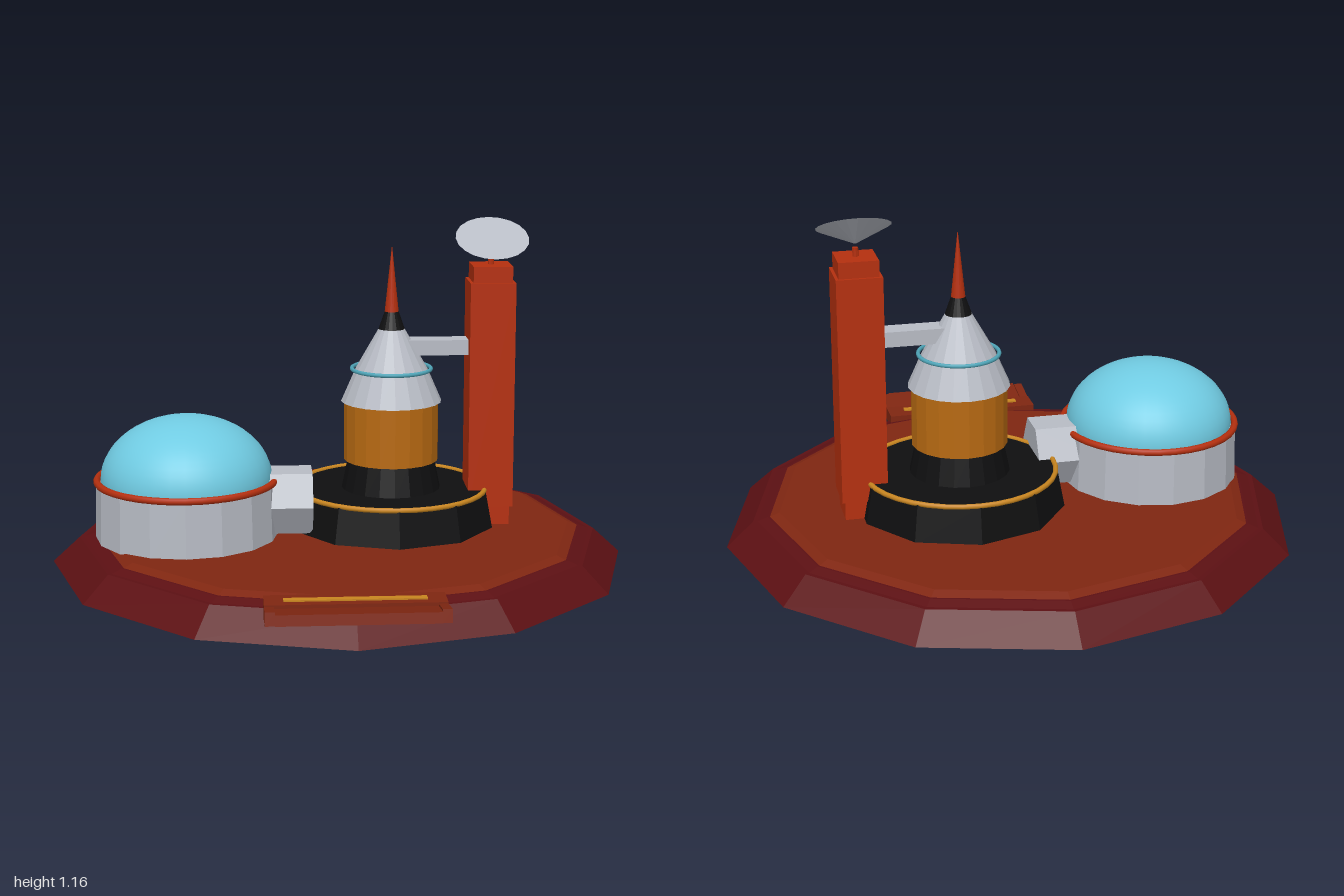
import * as THREE from 'three';

const mat = (name, color) => {
  const m = new THREE.MeshStandardMaterial({ color });
  m.name = name;
  return m;
};

// Faceted copy of a geometry
const flat = (geo) => {
  const g = geo.index ? geo.toNonIndexed() : geo;
  g.computeVertexNormals();
  return g;
};

export function createModel() {
  const maroon = mat('maroon rock', 0x5c1013);
  const soil = mat('rust soil', 0x7f2611);
  const red = mat('tower red', 0xb5300f);
  const black = mat('black', 0x0f0f10);
  const amber = mat('amber', 0xb86a12);
  const gold = mat('gold trim', 0xc8851f);
  const silver = mat('silver', 0xb8bcc5);
  const glass = mat('dome blue', 0x70cbe2);
  const teal = mat('teal trim', 0x4fa5b8);

  const model = new THREE.Group();
  const add = (name, geo, material, x, y, z, parent = model) => {
    const m = new THREE.Mesh(geo, material);
    m.name = name;
    m.position.set(x, y, z);
    parent.add(m);
    return m;
  };
  // Faceted frustum standing between heights y0 and y1
  const frustum = (name, rTop, rBottom, y0, y1, sides, material, x, z, parent) =>
    add(name, flat(new THREE.CylinderGeometry(rTop, rBottom, y1 - y0, sides)), material, x, (y0 + y1) / 2, z, parent);
  const box = (name, w, h, d, material, x, y, z, parent) =>
    add(name, new THREE.BoxGeometry(w, h, d), material, x, y, z, parent);
  const ring = (name, r, tube, material, x, y, z, parent) => {
    const m = add(name, new THREE.TorusGeometry(r, tube, 8, 36), material, x, y, z, parent);
    m.rotation.x = Math.PI / 2;
    return m;
  };
  const group = (name) => {
    const g = new THREE.Group();
    g.name = name;
    model.add(g);
    return g;
  };

  // Twelve-sided ground
  const ground = group('ground');
  frustum('groundSlope', 0.89, 0.982, 0, 0.085, 12, maroon, 0, -0.018, ground);
  frustum('groundShoulder', 0.84, 0.875, 0.085, 0.097, 12, maroon, 0, -0.018, ground);
  frustum('groundTop', 0.8, 0.855, 0.088, 0.11, 12, soil, 0, -0.018, ground);

  // Entry ramp at the front edge
  const ramp = group('ramp');
  box('rampThreshold', 0.56, 0.03, 0.1, soil, 0, 0.1, 0.815, ramp);
  box('rampStripe', 0.44, 0.006, 0.026, gold, 0, 0.117, 0.822, ramp);
  const deck = box('rampDeck', 0.5, 0.034, 0.22, soil, 0, 0.09, 0.885, ramp);
  deck.rotation.x = -0.17;
  for (const side of [-1, 1]) {
    const rail = box('rampRail', 0.03, 0.042, 0.21, soil, side * 0.265, 0.09, 0.872, ramp);
    rail.rotation.x = -0.17;
  }

  // Domed habitat
  const habitat = group('habitat');
  const hx = -0.52, hz = 0.05;
  frustum('habitatWall', 0.305, 0.31, 0.105, 0.3, 16, silver, hx, hz, habitat);
  const domeGeo = new THREE.SphereGeometry(0.29, 36, 14, 0, Math.PI * 2, 0, Math.PI / 2);
  add('habitatDome', domeGeo, glass, hx, 0.305, hz, habitat).scale.y = 0.745;
  ring('habitatRing', 0.303, 0.012, red, hx, 0.303, hz, habitat);

  // Hexagonal tunnel from habitat to pad
  const tunnelGeo = flat(new THREE.CylinderGeometry(0.12, 0.12, 0.22, 6)).rotateZ(Math.PI / 2);
  add('tunnel', tunnelGeo, silver, -0.205, 0.224, hz, habitat);

  // Launch pad
  const px = 0.185, pz = -0.068;
  const pad = group('launchPad');
  frustum('padBase', 0.335, 0.36, 0.105, 0.235, 10, black, px, pz, pad);
  ring('padRing', 0.328, 0.009, gold, px, 0.235, pz, pad);

  // Rocket stages, bottom to top
  const rocket = group('rocket');
  const stages = [
    ['engineSkirt', 0.15, 0.172, 0.23, 0.336, black],
    ['fuelStage', 0.163, 0.163, 0.335, 0.54, amber],
    ['lowerCone', 0.125, 0.173, 0.54, 0.65, silver],
    ['upperCone', 0.045, 0.125, 0.65, 0.79, silver],
    ['noseCollar', 0.024, 0.045, 0.79, 0.85, black],
    ['noseSpire', 0.001, 0.024, 0.85, 1.07, red],
  ];
  for (const [name, rTop, rBottom, y0, y1, material] of stages) {
    frustum(name, rTop, rBottom, y0, y1, 20, material, px, pz, rocket);
  }
  ring('rocketRing', 0.136, 0.007, teal, px, 0.652, pz, rocket);

  // Service tower with arm and dish
  const tower = group('serviceTower');
  const tx = 0.523, tz = -0.064;
  box('towerCore', 0.134, 0.9, 0.134, red, tx, 0.56, tz, tower);
  box('towerCladding', 0.155, 0.78, 0.155, red, tx, 0.565, tz, tower);
  box('towerArm', 0.24, 0.052, 0.075, silver, 0.345, 0.728, -0.068, tower);
  frustum('dishPost', 0.01, 0.01, 1.0, 1.04, 8, red, tx, tz, tower);
  const dish = frustum('dish', 0.125, 0.004, 1.05, 1.106, 20, silver, tx, -0.052, tower);
  dish.rotation.x = 0.48;

  return model;
}
